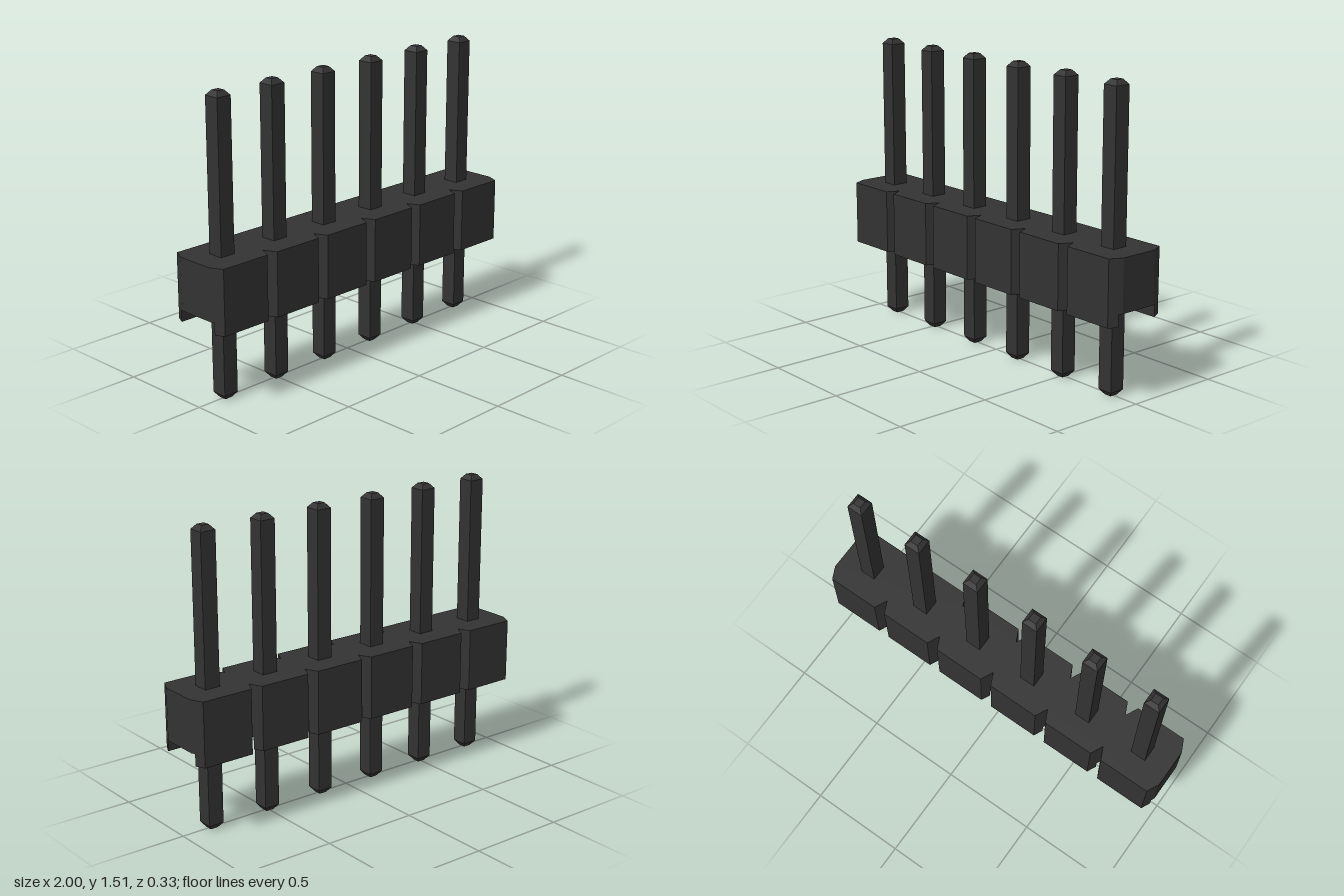
import * as THREE from 'three';

const PINS = 6, PITCH = 1 / 3, HALF = PITCH / 2;
const DEPTH = 0.165, NOTCH_Z = 0.1, NOTCH_X = 0.031, FOOT_Z = 0.118;
const BOTTOM = 0.4, FLOOR = 0.463, TOP = 0.73;

const material = new THREE.MeshStandardMaterial({ color: 0x333333, flatShading: true });

// Extrude a plan outline of [x, z] points upwards from y0 to y1
function slab(points, y0, y1) {
  const shape = new THREE.Shape(points.map(([x, z]) => new THREE.Vector2(x, -z)));
  const geometry = new THREE.ExtrudeGeometry(shape, { depth: y1 - y0, bevelEnabled: false });
  return geometry.rotateX(-Math.PI / 2).translate(0, y0, 0);
}

function add(parent, name, geometry, x = 0) {
  const mesh = new THREE.Mesh(geometry, material);
  mesh.name = name;
  mesh.position.x = x;
  parent.add(mesh);
  return mesh;
}

export function createModel() {
  const group = new THREE.Group();
  group.name = 'pinHeader';
  const centres = Array.from({ length: PINS }, (_, i) => (i - (PINS - 1) / 2) * PITCH);

  // Housing: one strip with V notches between the positions
  const front = centres.flatMap((x) => [
    [x - HALF, NOTCH_Z],
    [x - HALF + NOTCH_X, DEPTH],
    [x + HALF - NOTCH_X, DEPTH],
  ]);
  front.push([1, NOTCH_Z]);
  const back = front.map(([x, z]) => [-x, -z]);
  add(group, 'housing', slab([...front, ...back], FLOOR, TOP));

  // Feet: short lips along both long edges, leaving a channel underneath
  const inner = HALF - NOTCH_X * (FOOT_Z - NOTCH_Z) / (DEPTH - NOTCH_Z);
  const outer = HALF - NOTCH_X;
  const foot = slab([[-inner, FOOT_Z], [-outer, DEPTH], [outer, DEPTH], [inner, FOOT_Z]], BOTTOM, FLOOR);

  // Pin: square bar with tapered, flat-ended tips
  const profile = [[0, 0], [0.02, 0], [0.041, 0.028], [0.041, 1.49], [0.02, 1.515], [0, 1.515]]
    .map(([r, y]) => new THREE.Vector2(r * Math.SQRT2, y));
  const pin = new THREE.LatheGeometry(profile, 4, Math.PI / 4);

  for (const x of centres) {
    add(group, 'pin', pin, x);
    add(group, 'frontFoot', foot, x);
    add(group, 'backFoot', foot, x).rotation.y = Math.PI;
  }
  return group;
}
